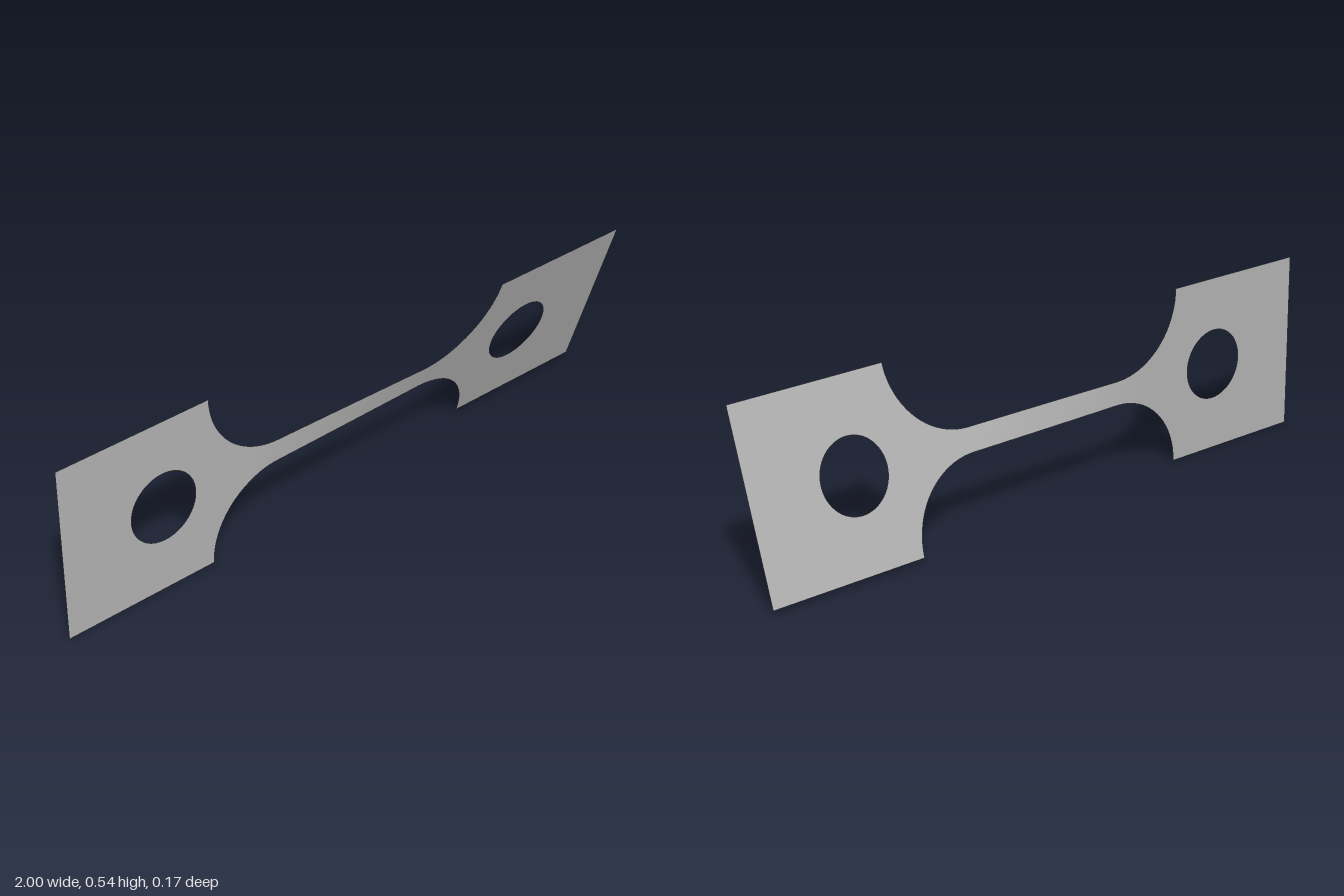
import * as THREE from 'three';

const HALF_H = 0.271, NECK_H = 0.036, HOLE_R = 0.108, HOLE_X = 0.67;
const PAD_X = 0.508, RADIUS = HALF_H - NECK_H;
const TWIST_START = 0.01, TWIST_END = 0.318;

// twist about the long axis, growing evenly along the narrow bar
function twistAt(x) {
  const t = THREE.MathUtils.clamp((x + 0.38) / 0.66, 0, 1);
  return THREE.MathUtils.lerp(TWIST_START, TWIST_END, t);
}

// half height of the bar: straight in the middle, quarter-circle fillets at both ends
function halfHeight(x) {
  const d = Math.max(0, Math.abs(x) - (PAD_X - RADIUS));
  return HALF_H - Math.sqrt(Math.max(0, RADIUS * RADIUS - d * d));
}

// flat grip plate with a round hole
function makePad(side, material) {
  const a = side * PAD_X, b = side;
  const shape = new THREE.Shape([
    new THREE.Vector2(a, -HALF_H), new THREE.Vector2(b, -HALF_H),
    new THREE.Vector2(b, HALF_H), new THREE.Vector2(a, HALF_H),
  ]);
  const hole = new THREE.Path();
  hole.absarc(side * HOLE_X, 0, HOLE_R, 0, Math.PI * 2, true);
  shape.holes.push(hole);
  const pad = new THREE.Mesh(new THREE.ShapeGeometry(shape, 32), material);
  pad.rotation.x = twistAt(side);
  pad.name = side > 0 ? 'leftGripPlate' : 'rightGripPlate';
  return pad;
}

// twisted bar with fillets, as a sheet of cross-sections
function makeBar(material) {
  const xs = [];
  const inner = PAD_X - RADIUS, arcSteps = 20, barSteps = 24;
  for (let i = 0; i < arcSteps; i++) xs.push(-inner - RADIUS * Math.cos(i / arcSteps * Math.PI / 2));
  for (let i = 0; i <= barSteps; i++) xs.push(-inner + 2 * inner * i / barSteps);
  for (let i = 1; i <= arcSteps; i++) xs.push(inner + RADIUS * Math.sin(i / arcSteps * Math.PI / 2));

  const rows = 8;
  const geometry = new THREE.PlaneGeometry(1, 1, xs.length - 1, rows);
  const p = geometry.attributes.position;
  for (let i = 0; i < p.count; i++) {
    const x = xs[i % xs.length];
    const h = p.getY(i) * 2 * halfHeight(x);
    const angle = twistAt(x);
    p.setXYZ(i, x, h * Math.cos(angle), h * Math.sin(angle));
  }
  geometry.computeVertexNormals();
  const bar = new THREE.Mesh(geometry, material);
  bar.name = 'twistedBar';
  return bar;
}

export function createModel() {
  const steel = new THREE.MeshStandardMaterial({ color: 0xb4b4b4, side: THREE.DoubleSide });
  steel.name = 'grey steel';
  const group = new THREE.Group();
  group.name = 'twistedSpecimen';
  group.add(makePad(-1, steel), makeBar(steel), makePad(1, steel));
  for (const part of group.children) part.position.y = HALF_H;
  return group;
}
